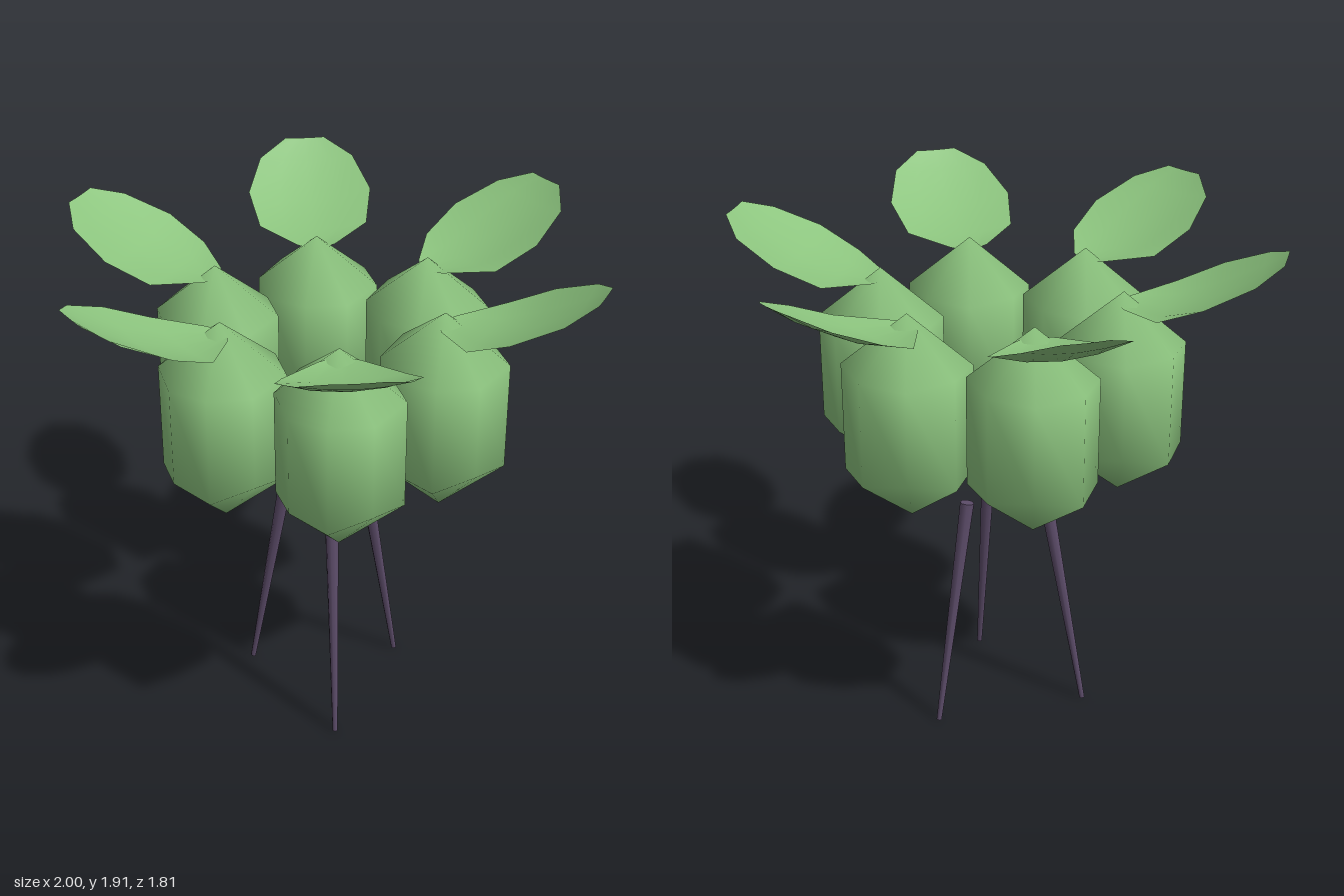
import * as THREE from 'three';

const green = new THREE.MeshStandardMaterial({ color: 0x8cc47e });
green.name = 'leafGreen';
const leafMat = new THREE.MeshStandardMaterial({ color: 0x8cc47e, side: THREE.DoubleSide });
leafMat.name = 'leafGreenTwoSided';
const purple = new THREE.MeshStandardMaterial({ color: 0x5c4c69 });
purple.name = 'stemPurple';

// Faceted pod: eight-sided stretched sphere whose corners are slightly uneven
function podGeometry() {
  const uneven = [1.02, 1.05, 0.91, 1.05, 0.955, 1.02, 1.07, 0.91];
  const g = new THREE.SphereGeometry(0.254, 8, 3);
  const p = g.attributes.position;
  const n = g.attributes.normal;
  for (let i = 0; i < p.count; i++) {
    const x = p.getX(i), y = p.getY(i), z = p.getZ(i);
    const az = Math.round(Math.atan2(z, x) / (Math.PI / 4));
    const s = Math.hypot(x, z) < 0.01 ? 1 : uneven[(az + 8) % 8];
    p.setXYZ(i, x * s, y * s * 1.525, z * s);
    const v = new THREE.Vector3(x, y / 1.525, z).normalize();
    n.setXYZ(i, v.x, v.y, v.z);
  }
  return g;
}

// Cupped leaf pointing along +x: rows of [x, half width, centre y, edge y]
function leafGeometry() {
  const rows = [
    [0.43, 0.02, 1.69, 1.692], [0.46, 0.07, 1.687, 1.695], [0.6, 0.203, 1.692, 1.715],
    [0.76, 0.235, 1.745, 1.787], [0.92, 0.18, 1.842, 1.862], [1.0, 0.075, 1.908, 1.91],
  ];
  const across = [-1, -0.5, 0, 0.5, 1];
  const pos = [], idx = [];
  rows.forEach(([x, w, yc, ye], r) => across.forEach((t, c) => {
    pos.push(x, yc + (ye - yc) * t * t, w * t);
    if (r && c) {
      const d = r * 5 + c, b = d - 5;
      idx.push(b - 1, b, d, b - 1, d, d - 1);
    }
  }));
  const g = new THREE.BufferGeometry();
  g.setAttribute('position', new THREE.Float32BufferAttribute(pos, 3));
  g.setIndex(idx);
  g.computeVertexNormals();
  return g;
}

function add(parent, name, geometry, material) {
  const m = new THREE.Mesh(geometry, material);
  m.name = name;
  parent.add(m);
  return m;
}

export function createModel() {
  const model = new THREE.Group();
  model.name = 'podPlant';

  // Ring of six pods, each topped by a leaf fanning outward
  const podGeo = podGeometry();
  const leafGeo = leafGeometry();
  for (let i = 0; i < 6; i++) {
    const a = (i * Math.PI) / 3;
    add(model, 'pod', podGeo, green).position.set(0.447 * Math.cos(a), 1.348, 0.447 * Math.sin(a));
    add(model, 'leaf', leafGeo, leafMat).rotation.y = -a;
  }

  // Three splayed stems, thinner at the foot
  for (let i = 0; i < 3; i++) {
    const a = (i * Math.PI * 2) / 3;
    const at = (r, y) => new THREE.Vector3(r * Math.cos(a), y, r * Math.sin(a));
    const top = at(0.173, 0.9), foot = at(0.335, 0.002);
    const stem = add(model, 'stem', new THREE.CylinderGeometry(0.026, 0.01, top.distanceTo(foot), 8), purple);
    stem.position.copy(top).add(foot).multiplyScalar(0.5);
    stem.quaternion.setFromUnitVectors(new THREE.Vector3(0, 1, 0), top.sub(foot).normalize());
  }
  return model;
}
